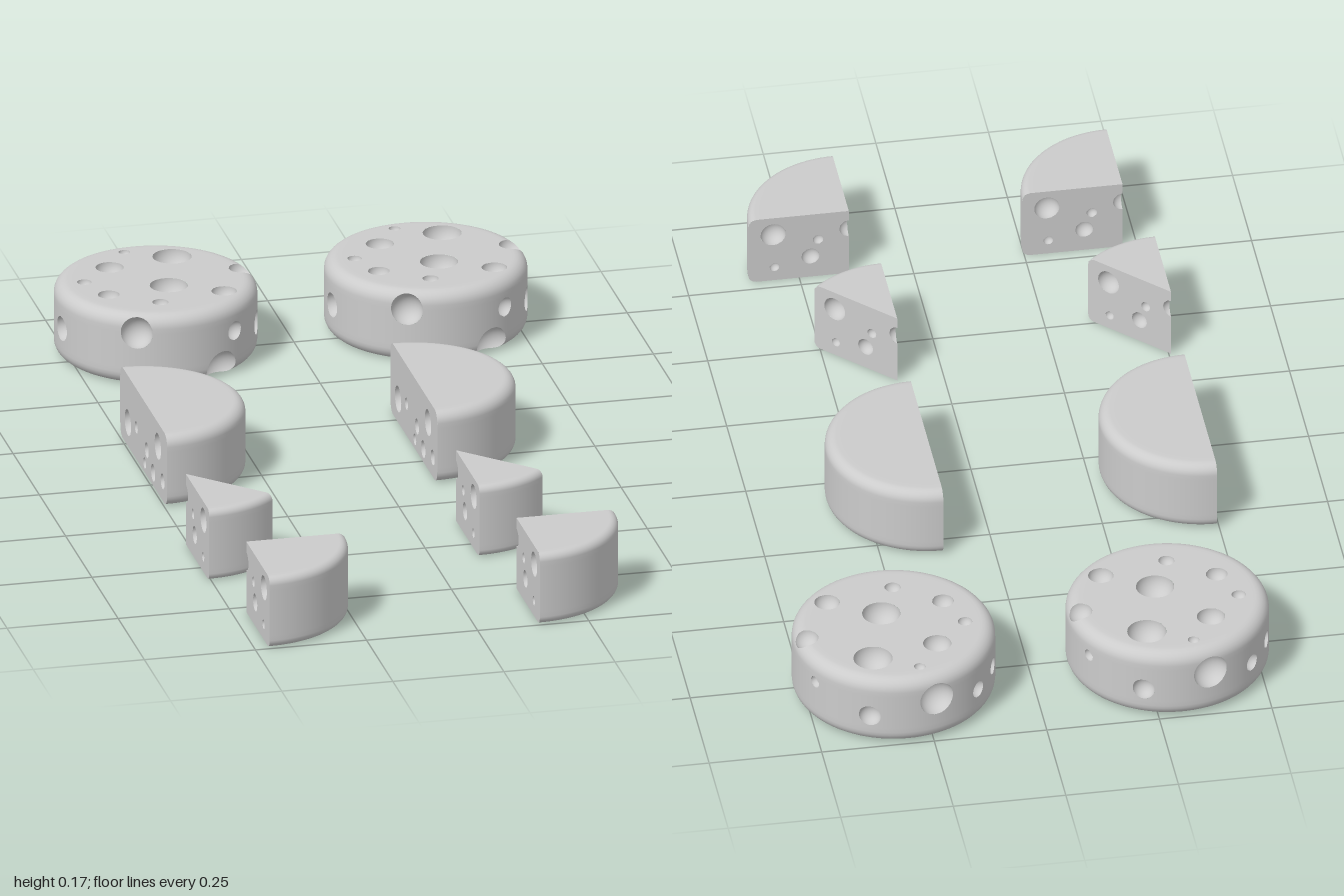
import * as THREE from 'three';

const R = 0.223, H = 0.166, STEP = 0.012;
const rad = THREE.MathUtils.degToRad;
const V = (x, y, z) => new THREE.Vector3(x, y, z);

// Geometry -> flat list of triangle corners { p, n }, optionally turned inside out
function corners(geometry, flip = false) {
  const g = geometry.index ? geometry.toNonIndexed() : geometry;
  const { position, normal } = g.attributes;
  const list = [];
  for (let i = 0; i < position.count; i++) {
    list.push({
      p: new THREE.Vector3().fromBufferAttribute(position, i),
      n: new THREE.Vector3().fromBufferAttribute(normal, i).multiplyScalar(flip ? -1 : 1),
    });
  }
  if (flip) for (let i = 0; i < list.length; i += 3) [list[i + 1], list[i + 2]] = [list[i + 2], list[i + 1]];
  return list;
}

// Point on edge a-b where the field f changes sign
function cutPoint(a, b, f) {
  let lo = 0, hi = 1;
  const positiveStart = f(a.p) > 0;
  for (let i = 0; i < 12; i++) {
    const mid = (lo + hi) / 2;
    if ((f(a.p.clone().lerp(b.p, mid)) > 0) === positiveStart) lo = mid; else hi = mid;
  }
  return { p: a.p.clone().lerp(b.p, lo), n: a.n.clone().lerp(b.n, lo).normalize() };
}

// Keep only the part of the triangles where f > 0
function clip(list, f) {
  const out = [];
  for (let i = 0; i < list.length; i += 3) {
    const poly = [];
    for (let k = 0; k < 3; k++) {
      const a = list[i + k], b = list[i + (k + 1) % 3];
      const inA = f(a.p) > 0, inB = f(b.p) > 0;
      if (inA) poly.push(a);
      if (inA !== inB) poly.push(cutPoint(a, b, f));
    }
    for (let k = 1; k + 1 < poly.length; k++) out.push(poly[0], poly[k], poly[k + 1]);
  }
  return out;
}

function toGeometry(list) {
  const g = new THREE.BufferGeometry();
  g.setAttribute('position', new THREE.Float32BufferAttribute(list.flatMap((v) => v.p.toArray()), 3));
  g.setAttribute('normal', new THREE.Float32BufferAttribute(list.flatMap((v) => v.n.toArray()), 3));
  return g;
}

// Half outline of the wheel with rounded rims, from bottom centre to top centre
function wheelProfile(round) {
  const pts = [];
  const capSteps = Math.ceil((R - round) / STEP), wallSteps = Math.ceil((H - 2 * round) / STEP);
  for (let i = 0; i < capSteps; i++) pts.push([(R - round) * i / capSteps, 0]);
  const arc = (cy, start) => {
    for (let i = 0; i <= 6; i++) {
      const a = start + (i / 6) * Math.PI / 2;
      pts.push([R - round + round * Math.cos(a), cy + round * Math.sin(a)]);
    }
  };
  arc(round, -Math.PI / 2);
  for (let i = 1; i < wallSteps; i++) pts.push([R, round + (H - 2 * round) * i / wallSteps]);
  arc(H - round, 0);
  for (let i = capSteps - 1; i >= 0; i--) pts.push([(R - round) * i / capSteps, H]);
  return pts.map(([x, y]) => new THREE.Vector2(x, y));
}

// Wheel or sector spanning "angle" from +z towards +x, with spherical holes carved out
function cheese(angle, round, holes) {
  const whole = angle > 6;
  const inWheel = (p) => {
    const qx = Math.hypot(p.x, p.z) - R + round;
    const qy = Math.abs(p.y - H / 2) - H / 2 + round;
    return round - Math.hypot(Math.max(qx, 0), Math.max(qy, 0)) - Math.min(Math.max(qx, qy), 0);
  };
  const inBody = (p) => whole ? inWheel(p)
    : Math.min(inWheel(p), p.x, p.z * Math.sin(angle) - p.x * Math.cos(angle));
  const outside = ({ c, r }) => (p) => p.distanceTo(c) - r;

  // Rind
  let skin = corners(new THREE.LatheGeometry(wheelProfile(round), Math.round(96 * angle / (2 * Math.PI)), 0, angle));
  // Two flat cut faces
  if (!whole) {
    for (const [side, turn] of [[1, -Math.PI / 2], [-1, angle + Math.PI / 2]]) {
      const face = new THREE.PlaneGeometry(R, H, 24, 18).translate(side * R / 2, H / 2, 0).rotateY(turn);
      skin = skin.concat(clip(corners(face), inWheel));
    }
  }
  for (const h of holes) skin = clip(skin, outside(h));

  // Bowl inside every hole
  for (const h of holes) {
    let bowl = corners(new THREE.SphereGeometry(h.r, 24, 16).translate(h.c.x, h.c.y, h.c.z), true);
    bowl = clip(bowl, inBody);
    for (const o of holes) if (o !== h && o.c.distanceTo(h.c) < o.r + h.r) bowl = clip(bowl, outside(o));
    for (const v of bowl) skin.push(v);
  }
  return toGeometry(skin);
}

// Holes in the wheel top: x, z, radius
const topHoles = [
  [-0.03, -0.17, 0.013], [0.066, -0.122, 0.043], [-0.082, -0.09, 0.031], [-0.156, -0.018, 0.016],
  [0.198, -0.021, 0.028], [0.02, 0.042, 0.042], [-0.121, 0.066, 0.024], [0.13, 0.103, 0.028],
  [-0.021, 0.135, 0.018],
].map(([x, z, r]) => ({ c: V(x, H, z), r }));

// Holes in the wheel wall: angle, height, radius
const wallHoles = [
  [38, 0.1, 0.022], [28, 0.02, 0.042], [70, 0.075, 0.028], [120, 0.11, 0.014], [157, 0.072, 0.025],
  [196, 0.106, 0.04], [227, 0.077, 0.02], [248, 0.086, 0.02], [279, 0.083, 0.028], [336, 0.125, 0.036],
].map(([a, y, r]) => ({ c: V(R * Math.sin(rad(a)), y, R * Math.cos(rad(a))), r }));

// Holes in the half wheel's cut face: z, height, radius
const halfHoles = [
  [-0.15, 0.055, 0.03], [-0.07, 0.075, 0.014], [0.01, 0.022, 0.013], [0.03, 0.06, 0.018],
  [0.135, 0.11, 0.03], [0.09, 0.03, 0.02], [0.18, 0.045, 0.018],
].map(([z, y, r]) => ({ c: V(0, y, z), r }));

// Holes in both faces of a wedge (distance from tip, height, radius) and a notch in the tip
function wedgeHoles(angle) {
  const holes = [{ c: V(0, 0.12, 0), r: 0.021 }];
  for (const a of [0, angle]) {
    for (const [d, y, r] of [[0.168, 0.122, 0.028], [0.085, 0.055, 0.02], [0.068, 0.098, 0.012], [0.165, 0.035, 0.011]]) {
      holes.push({ c: V(d * Math.sin(a), y, d * Math.cos(a)), r });
    }
  }
  return holes;
}

export function createModel() {
  const model = new THREE.Group();
  const material = new THREE.MeshStandardMaterial({ color: 0xcccccc });
  const pieces = [
    ['cheeseWheel', cheese(2 * Math.PI, 0.03, [...topHoles, ...wallHoles]), -0.305, -0.777],
    ['halfWheel', cheese(Math.PI, 0.025, halfHoles), -0.495, -0.086],
    ['thinWedge', cheese(Math.PI / 4, 0.016, wedgeHoles(Math.PI / 4)), -0.505, 0.358],
    ['quarterWheel', cheese(Math.PI / 2, 0.018, wedgeHoles(Math.PI / 2)), -0.468, 0.777],
  ];
  // Two identical rows side by side
  for (const [side, shift] of [['right', 0], ['left', 0.608]]) {
    const row = new THREE.Group();
    row.name = `${side}Row`;
    row.position.x = shift;
    for (const [name, geometry, x, z] of pieces) {
      const mesh = new THREE.Mesh(geometry, material);
      mesh.name = name;
      mesh.position.set(x, 0, z);
      row.add(mesh);
    }
    model.add(row);
  }
  return model;
}
